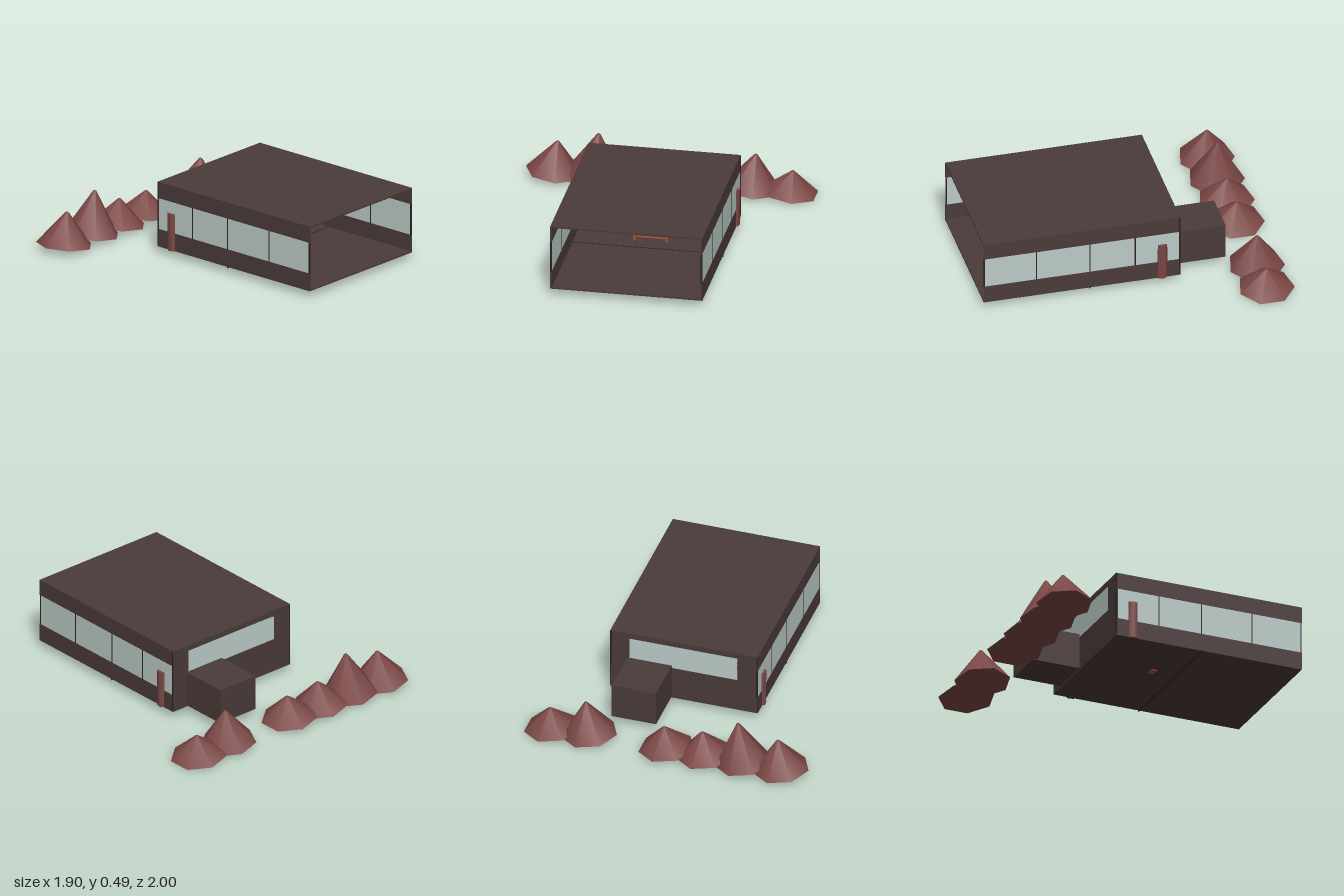
import * as THREE from 'three';

const mat = (name, color) => Object.assign(new THREE.MeshStandardMaterial({ color }), { name });

export function createModel() {
  const root = new THREE.Group();
  root.name = 'pavilion';
  const wall = mat('wall brown', 0x4a3b39);
  const dark = mat('dark trim', 0x2a2121);
  const glass = mat('pale glass', 0xbccbc7);
  const orange = mat('rust orange', 0xb4522c);
  const rock = mat('rock red', 0x7c4846);

  const add = (name, geo, material, x = 0, y = 0, z = 0, parent = root) => {
    const m = new THREE.Mesh(geo, material);
    m.name = name;
    m.position.set(x, y, z);
    parent.add(m);
    return m;
  };
  // box given by its minimum and maximum on each axis
  const box = (name, material, x0, x1, y0, y1, z0, z1, parent = root) =>
    add(name, new THREE.BoxGeometry(x1 - x0, y1 - y0, z1 - z0), material,
      (x0 + x1) / 2, (y0 + y1) / 2, (z0 + z1) / 2, parent);

  const L = -0.44, R = 0.555, MID = (L + R) / 2, BACK = -0.31, FRONT = 0.995, T = 0.01;

  // floor, roof and the thin sill strip across the floor
  box('floor', wall, L, R, 0.05, 0.06, BACK, FRONT);
  box('roof', wall, L, R, 0.48, 0.49, BACK, FRONT);
  box('floorStrip', dark, L - 0.002, R + 0.002, 0.042, 0.062, 0.287, 0.293);

  // side walls with long glazed bands and mullions
  for (const [x0, x1] of [[L, L + T], [R - T, R]]) {
    box('lowerSideWall', wall, x0, x1, 0.06, 0.17, BACK, FRONT);
    box('upperSideWall', wall, x0, x1, 0.38, 0.48, BACK, FRONT);
    box('sideGlass', glass, x0 + 0.002, x1 - 0.002, 0.17, 0.38, BACK + 0.01, FRONT - 0.005);
    for (const z of [0.99, 0.645, 0.29, -0.01])
      box('mullion', dark, x0, x1, 0.17, 0.38, z - 0.004, z + 0.004);
    box('rearCornerPost', dark, x0 - 0.001, x1 + 0.001, 0.06, 0.488, BACK, BACK + 0.008);
  }

  // rear wall with its window opening
  const rear = new THREE.Shape([[L, 0.06], [R, 0.06], [R, 0.48], [L, 0.48]]
    .map(p => new THREE.Vector2(...p)));
  rear.holes.push(new THREE.Path([[-0.305, 0.28], [-0.305, 0.45], [0.425, 0.45], [0.425, 0.28]]
    .map(p => new THREE.Vector2(...p))));
  add('rearWall', new THREE.ExtrudeGeometry(rear, { depth: T, bevelEnabled: false }), wall, 0, 0, BACK);
  box('rearGlass', glass, -0.305, 0.425, 0.28, 0.45, BACK + 0.002, BACK + 0.008);
  for (const y of [0.28, 0.45])
    box('rearWindowFrame', dark, -0.31, 0.43, y - 0.004, y + 0.004, BACK + 0.002, BACK + 0.02);
  for (const x of [-0.305, 0.425])
    box('rearWindowFrame', dark, x - 0.004, x + 0.004, 0.28, 0.45, BACK + 0.002, BACK + 0.02);

  // annex at the back
  box('annex', wall, 0.14, 0.44, 0.06, 0.3, -0.64, BACK);

  // leaning posts set through the side walls, each with a small stone beside it
  for (const s of [-1, 1]) {
    const post = add('sidePost', new THREE.CylinderGeometry(0.036, 0.042, 0.25, 7), rock,
      MID + s * 0.478, 0.176, -0.19);
    post.rotation.z = -s * 0.03;
    add('smallStone', new THREE.CylinderGeometry(0.012, 0.04, 0.13, 7), rock, MID + s * 0.43, 0.125, -0.19);
  }

  // cross beam with pegs and hanging brackets
  box('beam', orange, -0.38, 0.5, 0.37, 0.4, -0.205, -0.175);
  for (const x of [-0.15, 0.005, 0.16, 0.315, 0.47])
    box('peg', dark, x - 0.004, x + 0.004, 0.4, 0.42, -0.194, -0.186);
  for (const x of [-0.325, 0.445])
    box('bracket', orange, x - 0.008, x + 0.008, 0.3, 0.37, -0.198, -0.182);

  // round dial with ticks and a hand
  const dial = new THREE.Group();
  dial.name = 'dial';
  dial.position.set(-0.122, 0.302, -0.16);
  root.add(dial);
  add('dialFace', new THREE.CylinderGeometry(0.07, 0.07, 0.008, 28), glass, 0, 0, 0, dial).rotation.x = Math.PI / 2;
  add('dialRim', new THREE.TorusGeometry(0.07, 0.004, 6, 28), dark, 0, 0, 0, dial);
  for (let i = 0; i < 9; i++) {
    const a = Math.PI * (0.05 + i * 0.1125);
    add('tick', new THREE.BoxGeometry(0.012, 0.005, 0.003), dark,
      Math.cos(a) * 0.053, Math.sin(a) * 0.053, 0.005, dial).rotation.z = a;
  }
  add('dialHand', new THREE.BoxGeometry(0.005, 0.055, 0.003), dark, -0.008, 0.022, 0.005, dial).rotation.z = 0.32;

  // shelf unit below the dial
  box('shelfBack', dark, -0.28, -0.065, 0.06, 0.22, -0.21, -0.2);
  for (const x of [-0.28, -0.065])
    box('shelfSide', dark, x - 0.003, x + 0.003, 0.06, 0.22, -0.21, -0.12);
  for (const y of [0.1, 0.16, 0.22])
    box('shelf', glass, -0.277, -0.068, y - 0.003, y + 0.003, -0.2, -0.12);
  box('dialStem', dark, -0.128, -0.116, 0.22, 0.24, -0.166, -0.154);

  // low table with a pale top
  box('tableTop', glass, -0.06, 0.18, 0.102, 0.108, 0.07, 0.19);
  for (const x of [-0.045, 0.165])
    for (const z of [0.085, 0.175])
      box('tableLeg', orange, x - 0.006, x + 0.006, 0.06, 0.102, z - 0.006, z + 0.006);
  box('tableRail', orange, -0.04, 0.16, 0.06, 0.066, 0.125, 0.135);
  box('floorFitting', orange, -0.055, 0.005, 0.046, 0.055, 0.11, 0.15);

  // tall stand with an orange top
  box('standTop', orange, 0.225, 0.355, 0.236, 0.248, -0.28, -0.18);
  box('standShelf', glass, 0.235, 0.345, 0.113, 0.119, -0.27, -0.19);
  for (const x of [0.235, 0.345])
    for (const z of [-0.27, -0.19])
      box('standLeg', dark, x - 0.004, x + 0.004, 0.06, 0.236, z - 0.004, z + 0.004);

  // bowl on a slim stem
  add('bowl', new THREE.CylinderGeometry(0.038, 0.018, 0.035, 12), orange, -0.325, 0.13, -0.1);
  add('bowlStem', new THREE.CylinderGeometry(0.006, 0.012, 0.055, 8), dark, -0.325, 0.087, -0.1);

  // row of tilted seven-sided mounds behind: centre x, peak height, base height
  const mounds = [[-0.765, 0.245, 0.03], [-0.505, 0.32, 0.03], [-0.25, 0.2, 0.03],
    [0.01, 0.185, 0.03], [0.53, 0.265, 0.03], [0.783, 0.168, 0.021]];
  for (const [x, top, base] of mounds) {
    const h = top - base;
    const geo = new THREE.CylinderGeometry(0.01, 0.185, h, 7, 1, false, -Math.PI / 2);
    geo.translate(0, h / 2, 0);
    add('mound', geo, rock, x, base, -0.82).rotation.z = -0.115;
  }
  return root;
}
